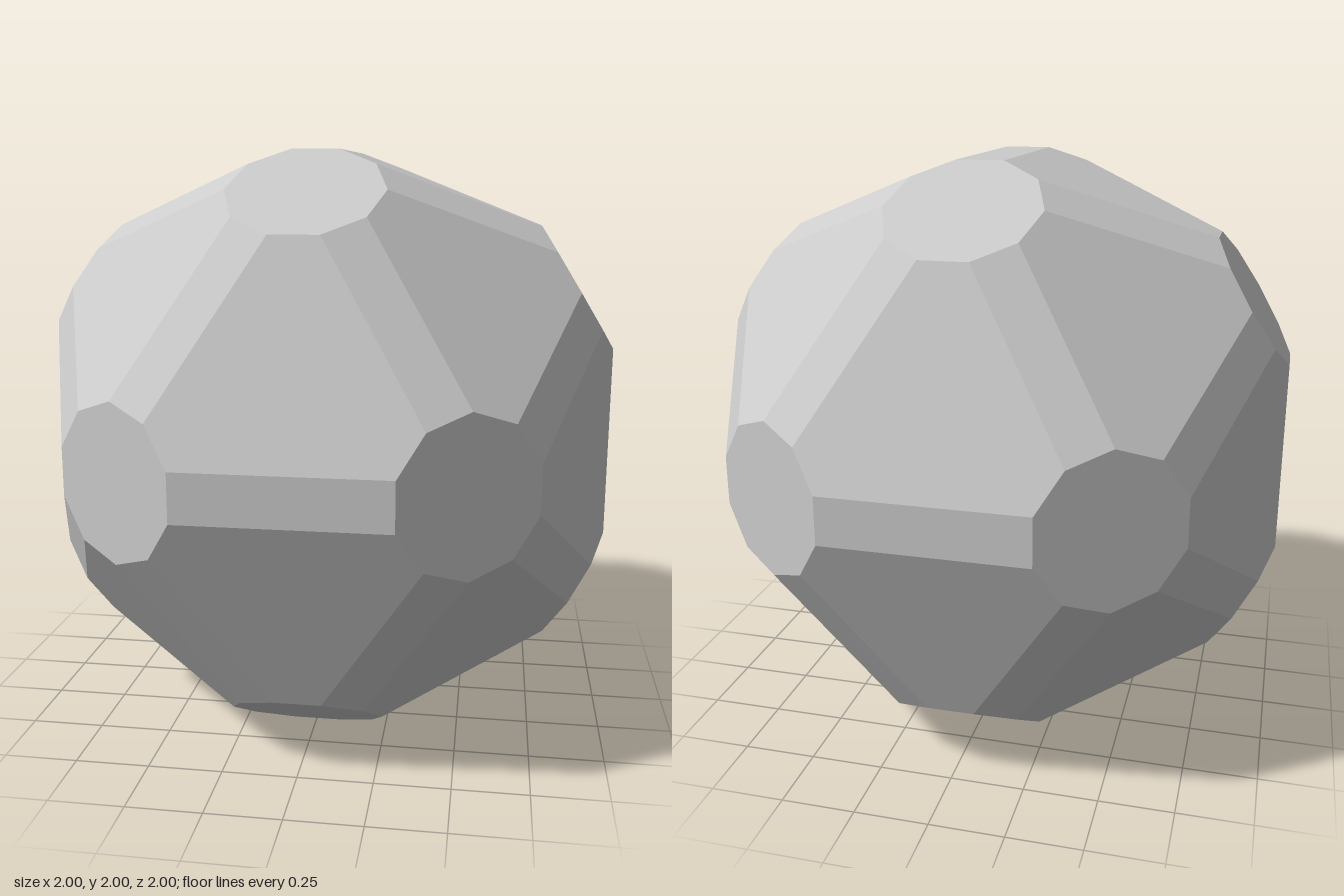
import * as THREE from 'three';

const PHI = (1 + Math.sqrt(5)) / 2;
const DECAGON_DISTANCE = 1.025;   // centre of the solid to each ten-sided face
const APOTHEM = 0.2437;           // ten-sided face: centre to side
const HALF_SIDE = 0.079;          // ten-sided face: half a side

const sum = (...v) => v.reduce((a, b) => a.add(b), new THREE.Vector3()).normalize();

// Twelve fivefold axes: the corners of an icosahedron
function fivefoldAxes() {
  const axes = [];
  for (const s of [-1, 1]) for (const t of [-PHI, PHI]) {
    axes.push([s, 0, t], [0, t, s], [t, s, 0]);
  }
  return axes.map(a => new THREE.Vector3(...a).normalize());
}

// One flat polygon per axis, through the corners lying furthest along it
function facesMesh(name, axes, corners, material) {
  const positions = [];
  for (const axis of axes) {
    const reach = Math.max(...corners.map(c => c.dot(axis)));
    const ring = corners.filter(c => reach - c.dot(axis) < 1e-4);
    const centre = axis.clone().multiplyScalar(reach);
    const u = ring[0].clone().sub(centre).normalize();
    const w = axis.clone().cross(u);
    const angle = c => Math.atan2(c.dot(w), c.dot(u));
    ring.sort((a, b) => angle(a) - angle(b));
    for (let i = 1; i < ring.length - 1; i++) {
      for (const p of [ring[0], ring[i], ring[i + 1]]) positions.push(p.x, p.y, p.z);
    }
  }
  const geometry = new THREE.BufferGeometry();
  geometry.setAttribute('position', new THREE.Float32BufferAttribute(positions, 3));
  geometry.computeVertexNormals();
  const mesh = new THREE.Mesh(geometry, material);
  mesh.name = name;
  mesh.position.y = 1;
  return mesh;
}

export function createModel() {
  const group = new THREE.Group();
  group.name = 'polyhedron';
  const material = new THREE.MeshStandardMaterial({ color: 0xcccccc, flatShading: true });

  const five = fivefoldAxes();
  const near = (a, b) => a !== b && a.dot(b) > 0.4;
  const corners = [], two = [], three = [];

  five.forEach((a, i) => five.forEach((b, j) => {
    if (!near(a, b)) return;
    // Two corners of the decagon on axis a, on the side facing axis b
    const u = b.clone().addScaledVector(a, -a.dot(b)).normalize();
    const w = a.clone().cross(u);
    for (const side of [-1, 1]) {
      corners.push(a.clone().multiplyScalar(DECAGON_DISTANCE)
        .addScaledVector(u, APOTHEM).addScaledVector(w, side * HALF_SIDE));
    }
    // Twofold and threefold axes between neighbouring fivefold axes
    if (j < i) return;
    two.push(sum(a, b));
    five.forEach((c, k) => {
      if (k > j && near(a, c) && near(b, c)) three.push(sum(a, b, c));
    });
  }));

  group.add(
    facesMesh('decagonFaces', five, corners, material),
    facesMesh('hexagonFaces', three, corners, material),
    facesMesh('rectangleFaces', two, corners, material),
  );
  return group;
}
